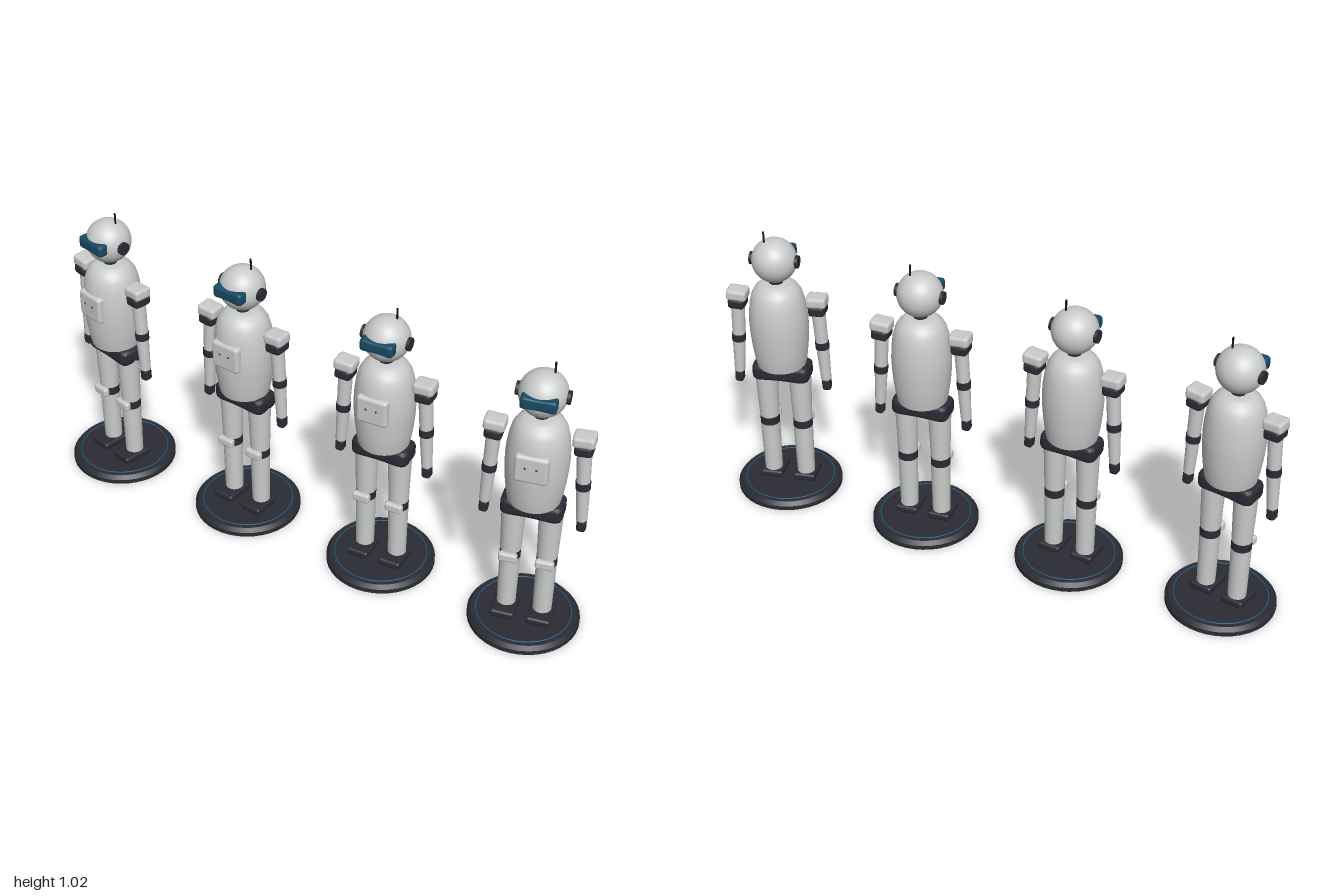
import * as THREE from 'three';
import { mergeVertices } from 'three/addons/utils/BufferGeometryUtils.js';
import { RoundedBoxGeometry } from 'three/addons/geometries/RoundedBoxGeometry.js';

function material(name, color) {
  const m = new THREE.MeshStandardMaterial({ color });
  m.name = name;
  return m;
}

const shell = material('light shell', 0xc9cccb);
const dark = material('dark joint', 0x2b2b35);
const glass = material('visor blue', 0x174a63);
const black = material('antenna black', 0x19191d);
const ringBlue = material('ring blue', 0x1a5f85);

function add(parent, name, geometry, mat, x = 0, y = 0, z = 0) {
  const mesh = new THREE.Mesh(geometry, mat);
  mesh.name = name;
  mesh.position.set(x, y, z);
  parent.add(mesh);
  return mesh;
}

const rounded = (w, h, d, r) => new RoundedBoxGeometry(w, h, d, 3, r);
const tube = (top, bottom, h) => new THREE.CylinderGeometry(top, bottom, h, 24);
const lathe = (pts) => new THREE.LatheGeometry(pts.map(([r, y]) => new THREE.Vector2(r, y)), 40);

// Soft pillow block whose middle narrows along x
function pillow(w, h, d, pinch) {
  let g = new THREE.BoxGeometry(2, 2, 2, 14, 8, 8);
  g.deleteAttribute('uv');
  g.deleteAttribute('normal');
  g = mergeVertices(g);
  const p = g.attributes.position;
  for (let i = 0; i < p.count; i++) {
    const v = [p.getX(i), p.getY(i), p.getZ(i)];
    const n = Math.pow(v.reduce((s, c) => s + c ** 6, 0), 1 / 6);
    const [x, y, z] = v.map((c) => c / n);
    const k = 1 - pinch * (1 - x * x);
    p.setXYZ(i, x * w / 2, y * k * h / 2, z * (1 - (1 - k) * 0.5) * d / 2);
  }
  g.computeVertexNormals();
  return g;
}

function makeLeg(side) {
  const leg = new THREE.Group();
  leg.name = side > 0 ? 'leftLeg' : 'rightLeg';
  leg.position.x = side * 0.06;
  add(leg, 'foot', rounded(0.08, 0.027, 0.108, 0.009), dark, 0, 0.0425, 0.015);
  add(leg, 'shin', tube(0.034, 0.031, 0.2), shell, 0, 0.153, 0);
  add(leg, 'kneeJoint', tube(0.034, 0.034, 0.032), dark, 0, 0.267, 0);
  add(leg, 'kneePad', rounded(0.062, 0.033, 0.024, 0.009), shell, 0, 0.269, 0.036);
  add(leg, 'thigh', tube(0.04, 0.034, 0.19), shell, 0, 0.377, 0);
  return leg;
}

function makeArm(side) {
  const arm = new THREE.Group();
  arm.name = side > 0 ? 'leftArm' : 'rightArm';
  // Pivot at the shoulder, hanging slightly outward
  arm.position.set(side * 0.14, 0.75, 0);
  arm.rotation.z = side * 0.053;
  add(arm, 'shoulderPad', pillow(0.07, 0.04, 0.066, 0.12), shell, 0, 0.016, 0);
  add(arm, 'shoulderJoint', pillow(0.058, 0.036, 0.066, 0), dark, 0, -0.015, 0);
  add(arm, 'upperArm', tube(0.024, 0.022, 0.12), shell, 0, -0.085, 0);
  add(arm, 'elbow', tube(0.024, 0.024, 0.027), dark, 0, -0.157, 0);
  add(arm, 'forearm', tube(0.022, 0.018, 0.125), shell, 0, -0.232, 0);
  add(arm, 'hand', rounded(0.03, 0.046, 0.034, 0.01), dark, 0, -0.315, 0);
  return arm;
}

function makeHead() {
  const head = new THREE.Group();
  head.name = 'head';
  head.position.y = 0.908;
  add(head, 'skull', new THREE.SphereGeometry(0.077, 36, 24), shell);
  add(head, 'visor', pillow(0.114, 0.048, 0.044, 0.22), glass, 0, 0.006, 0.064);
  for (const side of [-1, 1]) {
    const ear = add(head, 'ear', tube(0.022, 0.022, 0.018), dark, side * 0.075, 0, 0);
    ear.rotation.z = Math.PI / 2;
  }
  add(head, 'antenna', tube(0.0033, 0.0033, 0.05), black, 0.027, 0.084, -0.013);
  return head;
}

function makeFigure() {
  const figure = new THREE.Group();
  figure.name = 'robotFigure';

  // Display base with an inlaid ring
  add(figure, 'base', lathe([
    [0, 0], [0.185, 0], [0.185, 0], [0.185, 0.016], [0.185, 0.016],
    [0.174, 0.03], [0.174, 0.03], [0, 0.03],
  ]), dark);
  const ring = add(figure, 'baseRing', new THREE.TorusGeometry(0.157, 0.002, 6, 64), ringBlue, 0, 0.03, 0);
  ring.rotation.x = Math.PI / 2;

  // Body
  add(figure, 'pelvis', pillow(0.2, 0.066, 0.104, 0.15), dark, 0, 0.477, 0);
  add(figure, 'torso', lathe([
    [0, 0.505], [0.084, 0.505], [0.084, 0.505], [0.09, 0.535], [0.096, 0.58], [0.1, 0.63],
    [0.101, 0.67], [0.099, 0.71], [0.094, 0.75], [0.086, 0.782],
    [0.074, 0.803], [0.058, 0.817], [0.042, 0.823], [0, 0.824],
  ]), shell);
  add(figure, 'chestPanel', rounded(0.108, 0.1, 0.034, 0.012), shell, 0, 0.684, 0.088);
  for (const x of [-0.018, 0.018]) {
    add(figure, 'chestButton', new THREE.SphereGeometry(0.004, 10, 8), dark, x, 0.692, 0.104);
  }
  add(figure, 'neck', tube(0.022, 0.024, 0.04), dark, 0, 0.833, 0);

  for (const side of [-1, 1]) figure.add(makeLeg(side), makeArm(side));
  figure.add(makeHead());
  return figure;
}

export function createModel() {
  const model = new THREE.Group();
  model.name = 'robotRow';
  // Four figures in a row, fanned outward
  for (let i = 0; i < 4; i++) {
    const figure = makeFigure();
    figure.position.x = (i - 1.5) * 0.5433;
    figure.rotation.y = (i - 1.5) * 0.16;
    model.add(figure);
  }
  return model;
}
